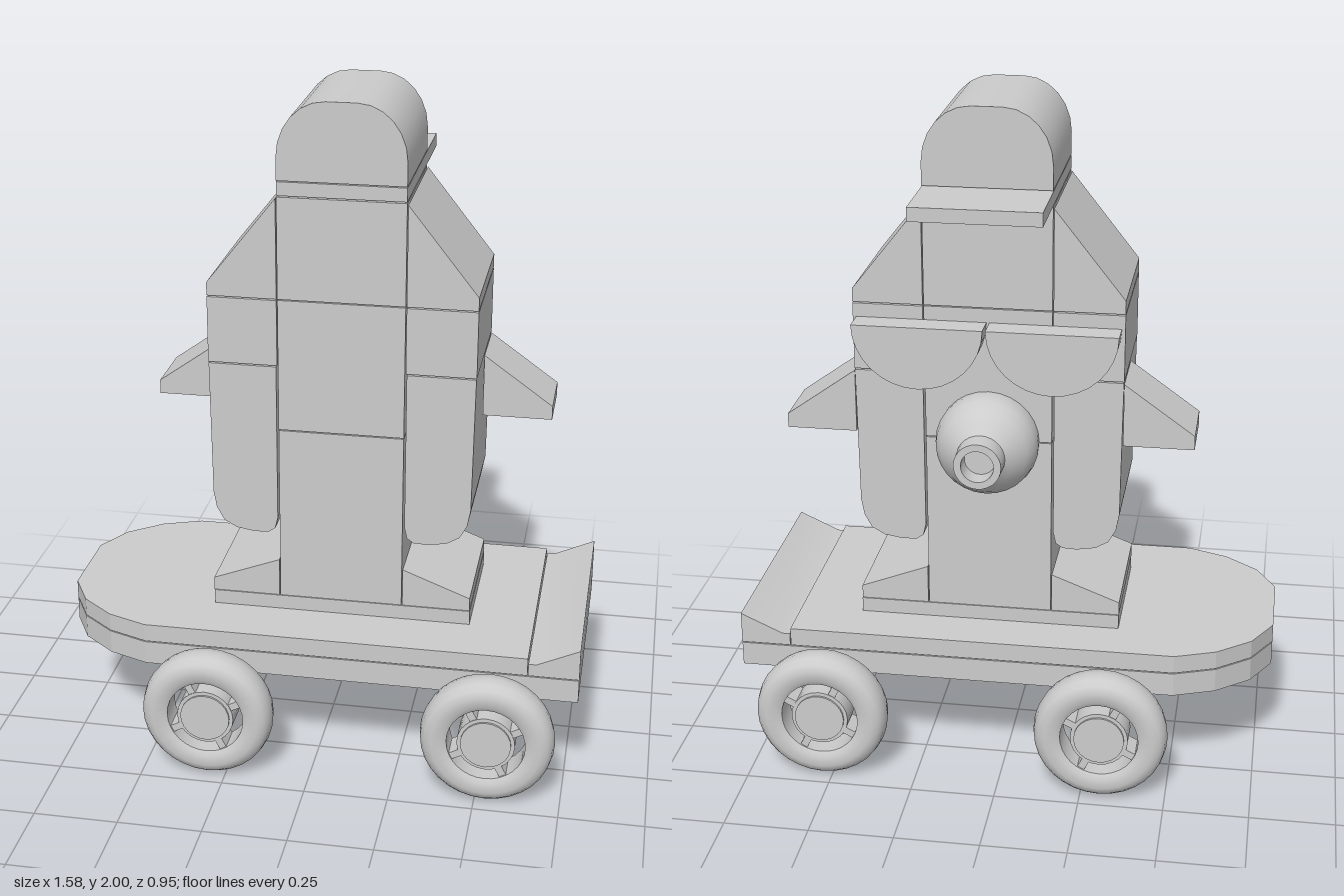
import * as THREE from 'three';
import { toCreasedNormals } from 'three/addons/utils/BufferGeometryUtils.js';

const CX = 0.055;               // centre line of the figure
const BACK = -0.217, FRONT = 0.188; // body depth
const material = new THREE.MeshStandardMaterial({ color: 0xcccccc, side: THREE.DoubleSide });

export function createModel() {
  const model = new THREE.Group();

  function add(name, geometry, parent = model) {
    const mesh = new THREE.Mesh(geometry, material);
    mesh.name = name;
    parent.add(mesh);
    return mesh;
  }
  function block(name, x0, x1, y0, y1, z0, z1) {
    const mesh = add(name, new THREE.BoxGeometry(x1 - x0, y1 - y0, z1 - z0));
    mesh.position.set((x0 + x1) / 2, (y0 + y1) / 2, (z0 + z1) / 2);
    return mesh;
  }
  // Front outline in x and y, pushed through the depth z0..z1
  function slab(name, points, z0 = BACK, z1 = FRONT) {
    const shape = new THREE.Shape(points.map(([x, y]) => new THREE.Vector2(x, y)));
    const geometry = new THREE.ExtrudeGeometry(shape, { depth: z1 - z0, bevelEnabled: false });
    geometry.translate(0, 0, z0);
    return add(name, toCreasedNormals(geometry, 0.6));
  }
  // Same outline on both sides; x is the distance from the centre line
  function pair(name, points, z0, z1) {
    slab('left' + name, points.map(([x, y]) => [CX + x, y]), z0, z1);
    slab('right' + name, points.map(([x, y]) => [CX - x, y]), z0, z1);
  }
  function arc(cx, cy, rx, ry, from, to, steps) {
    return Array.from({ length: steps + 1 }, (_, i) => {
      const a = from + (to - from) * i / steps;
      return [cx + rx * Math.cos(a), cy + ry * Math.sin(a)];
    });
  }

  // Board: two layers with a rounded nose and a kicked-up tail
  const nose = [[-0.51, -0.36], [-0.63, -0.315], [-0.73, -0.235], [-0.79, -0.125],
    [-0.79, 0.125], [-0.73, 0.235], [-0.63, 0.315], [-0.51, 0.36]];
  function deck(name, xEnd, y0, y1) {
    const outline = [...nose, [xEnd, 0.36], [xEnd, -0.36]];
    const shape = new THREE.Shape(outline.map(([x, z]) => new THREE.Vector2(x, -z)));
    const geometry = new THREE.ExtrudeGeometry(shape, { depth: y1 - y0, bevelEnabled: false });
    geometry.rotateX(-Math.PI / 2).translate(0, y0, 0);
    add(name, geometry);
  }
  deck('deckLower', 0.785, 0.305, 0.377);
  deck('deckUpper', 0.635, 0.38, 0.435);
  slab('deckTail', [[0.637, 0.38], [0.785, 0.38], [0.785, 0.475], [0.66, 0.418], [0.637, 0.418]], -0.36, 0.36);

  // Wheel: rounded tyre, rim, hub and spokes, axis along z
  function wheel(x, z) {
    const group = new THREE.Group();
    group.name = 'wheel';
    group.position.set(x, 0.198, z);
    const profile = [[0.115, -0.045], [0.13, -0.054], [0.16, -0.056], [0.18, -0.048], [0.193, -0.03],
      [0.198, 0], [0.193, 0.03], [0.18, 0.048], [0.16, 0.056], [0.13, 0.054], [0.115, 0.045], [0.115, -0.045]]
      .map(([r, h]) => new THREE.Vector2(r, h));
    const tyre = new THREE.LatheGeometry(profile, 32).rotateX(Math.PI / 2);
    add('tyre', toCreasedNormals(tyre, 0.9), group);
    add('hub', new THREE.CylinderGeometry(0.085, 0.085, 0.084, 24).rotateX(Math.PI / 2), group);
    add('hubCap', new THREE.CylinderGeometry(0.074, 0.074, 0.096, 24).rotateX(Math.PI / 2), group);
    for (let i = 0; i < 4; i++) {
      const spoke = new THREE.BoxGeometry(0.045, 0.022, 0.08);
      add('spoke', spoke.translate(0.097, 0, 0).rotateZ(Math.PI * (0.15 + i / 2)), group);
    }
    model.add(group);
  }

  // Trucks, axles and wheels
  for (const x of [-0.305, 0.53]) {
    slab('truck', [[x - 0.14, 0.305], [x - 0.045, 0.13], [x + 0.045, 0.13], [x + 0.14, 0.305]], BACK, 0.22);
    const axle = add('axle', new THREE.CylinderGeometry(0.042, 0.042, 0.82, 20).rotateX(Math.PI / 2));
    axle.position.set(x, 0.2, 0);
    for (const z of [-0.418, 0.418]) wheel(x, z);
  }

  // Feet and trunk
  block('footPlate', -0.333, 0.445, 0.436, 0.48, BACK, FRONT);
  pair('Foot', [[0.187, 0.482], [0.389, 0.482], [0.389, 0.522], [0.187, 0.6]]);
  block('trunkLower', CX - 0.184, CX + 0.184, 0.482, 1.022, BACK, FRONT);
  block('trunkMiddle', CX - 0.184, CX + 0.184, 1.025, 1.423, BACK, FRONT);
  block('trunkUpper', CX - 0.184, CX + 0.184, 1.426, 1.726, BACK, FRONT);

  // Rounded flanks, side blocks and sloped shoulders
  pair('Flank', [[0.19, 1.22], [0.389, 1.22], [0.384, 0.81], [0.375, 0.76], [0.353, 0.72],
    [0.315, 0.698], [0.26, 0.689], [0.218, 0.691], [0.198, 0.705], [0.19, 0.74]]);
  pair('Side', [[0.187, 1.224], [0.39, 1.224], [0.39, 1.422], [0.187, 1.422]]);
  pair('Shoulder', [[0.187, 1.426], [0.39, 1.426], [0.39, 1.465], [0.187, 1.722]]);
  pair('Ear', [[0.39, 1.028], [0.595, 1.028], [0.595, 1.07], [0.39, 1.217]], BACK, -0.02);

  // Half-disc eyes on the face side
  pair('Eye', arc(0.192, 1.382, 0.188, 0.184, Math.PI, 2 * Math.PI, 16), -0.292, BACK);

  // Domed nose with a hollow tip
  const noseProfile = [[0.148, 0], [0.15, 0.03], [0.143, 0.065], [0.125, 0.095], [0.095, 0.122], [0.07, 0.142],
    [0.068, 0.203], [0.047, 0.203], [0.045, 0.15], [0, 0.15]].map(([r, h]) => new THREE.Vector2(r, h));
  const snout = new THREE.LatheGeometry(noseProfile, 28).rotateX(-Math.PI / 2);
  add('nose', toCreasedNormals(snout, 0.7)).position.set(CX, 1.025, BACK);

  // Cap with a peak over the face
  block('capPeak', CX - 0.184, CX + 0.184, 1.73, 1.77, -0.424, FRONT);
  slab('capCrown', [[CX - 0.184, 1.773], [CX + 0.184, 1.773],
    ...arc(CX + 0.044, 1.84, 0.14, 0.16, 0, Math.PI / 2, 6),
    ...arc(CX - 0.044, 1.84, 0.14, 0.16, Math.PI / 2, Math.PI, 6)]);

  return model;
}
